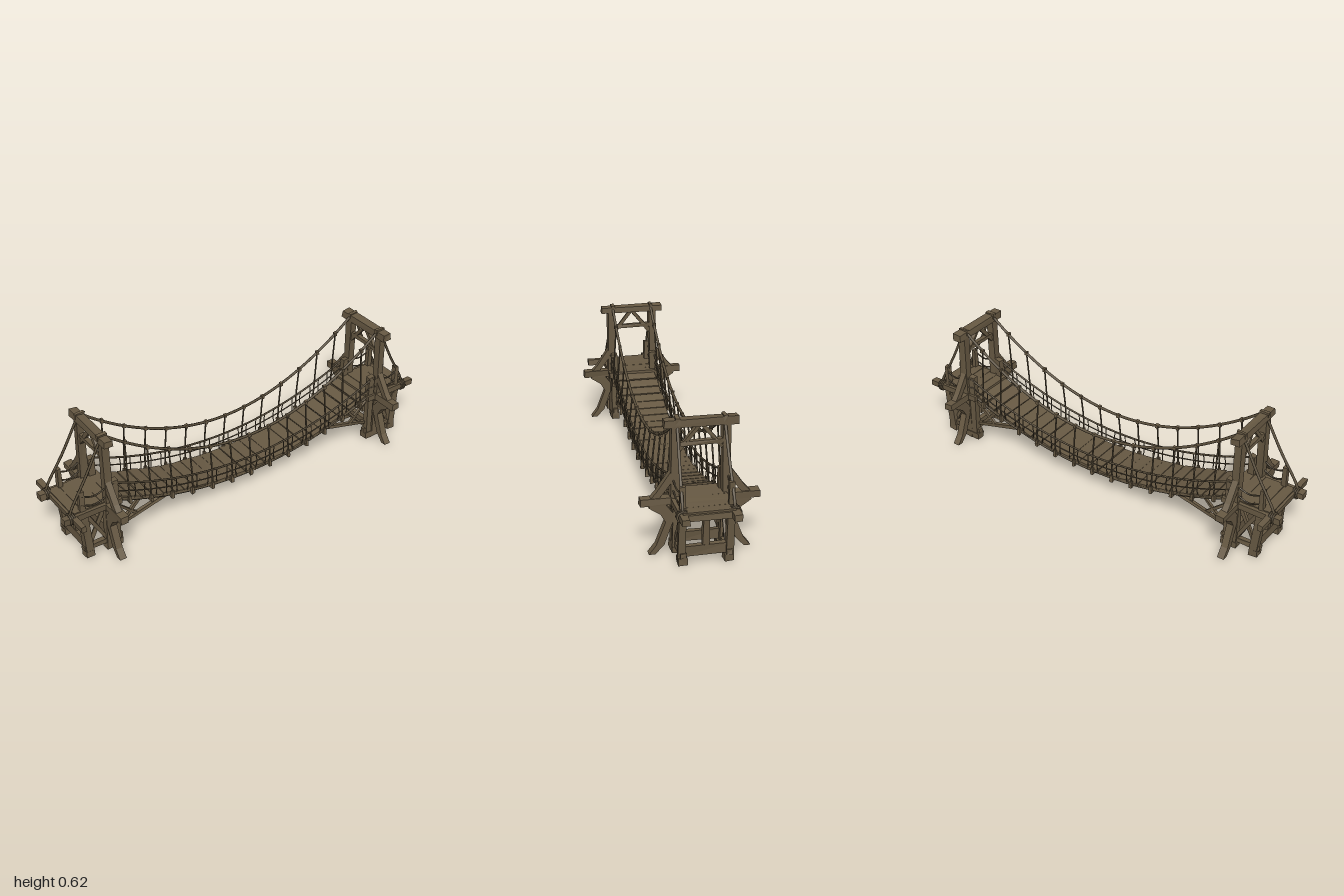
import * as THREE from 'three';

export function createModel() {
  const root = new THREE.Group();
  root.name = 'ropeBridge';
  const wood = new THREE.MeshStandardMaterial({ color: 0x675943, flatShading: true });
  wood.name = 'weathered wood';
  const rope = new THREE.MeshStandardMaterial({ color: 0x5c503c });
  rope.name = 'old rope';

  let seed = 11;
  const rnd = () => (seed = (seed * 16807) % 2147483647) / 2147483647;
  const vary = (a) => (rnd() - 0.5) * 2 * a;
  const V = (x, y, z) => new THREE.Vector3(x, y, z);

  // Rough-hewn timber from a to b; w is the sideways size, h the other one
  function beam(parent, name, a, b, w, h, rough = 0.003) {
    const p = V(...a), q = V(...b), len = p.distanceTo(q);
    const geo = new THREE.BoxGeometry(w, h, len);
    const pos = geo.attributes.position;
    const off = Array.from({ length: 8 }, () => [vary(rough), vary(rough), vary(rough)]);
    for (let i = 0; i < pos.count; i++) {
      const o = off[(pos.getX(i) > 0 ? 1 : 0) + (pos.getY(i) > 0 ? 2 : 0) + (pos.getZ(i) > 0 ? 4 : 0)];
      pos.setXYZ(i, pos.getX(i) + o[0], pos.getY(i) + o[1], pos.getZ(i) + o[2]);
    }
    geo.computeVertexNormals();
    const mesh = new THREE.Mesh(geo, wood);
    mesh.name = name;
    const d = q.clone().sub(p).normalize();
    const up = Math.abs(d.y) > 0.95 ? V(0, 0, 1) : V(0, 1, 0);
    const side = up.clone().cross(d).normalize();
    mesh.quaternion.setFromRotationMatrix(new THREE.Matrix4().makeBasis(side, d.clone().cross(side), d));
    mesh.position.copy(p).add(q).multiplyScalar(0.5);
    parent.add(mesh);
    return mesh;
  }

  function cord(parent, name, pts, r, segs = 12) {
    const curve = new THREE.CatmullRomCurve3(pts.map((p) => V(...p)));
    const mesh = new THREE.Mesh(new THREE.TubeGeometry(curve, segs, r, 5), rope);
    mesh.name = name;
    parent.add(mesh);
  }

  // Flat timber cut from an outline in the z-y plane
  function cutBrace(parent, name, outline, x, s, depth) {
    const shape = new THREE.Shape(outline.map(([z, y]) => new THREE.Vector2(z * s, y)));
    const geo = new THREE.ExtrudeGeometry(shape, { depth, bevelEnabled: false });
    geo.translate(0, 0, -depth / 2).rotateY(-Math.PI / 2);
    const mesh = new THREE.Mesh(geo, wood);
    mesh.name = name;
    mesh.position.x = x;
    parent.add(mesh);
  }

  const sag = (low, high, half) => (x) => low + (high - low) * (x / half) ** 2;
  const deckY = sag(0.105, 0.255, 0.72);
  const railY = sag(0.185, 0.35, 0.74);
  const cableY = sag(0.3, 0.608, 0.77);
  const along = (f, z, half, n = 16) =>
    Array.from({ length: n + 1 }, (_, i) => {
      const x = -half + (2 * half * i) / n;
      return [x, f(x), z];
    });

  // Towers with their landing platforms, one at each end
  for (const e of [-1, 1]) {
    const tower = new THREE.Group();
    tower.name = e < 0 ? 'rightTower' : 'leftTower';
    root.add(tower);
    const T = 0.775 * e;

    for (const s of [-1, 1]) {
      const z = 0.103 * s;
      beam(tower, 'towerPost', [T, 0.02, z], [T, 0.23, z], 0.038, 0.034);
      beam(tower, 'towerPostUpper', [T, 0.22, 0.113 * s], [T, 0.6, 0.107 * s], 0.038, 0.036);
      beam(tower, 'innerPost', [0.737 * e, 0.02, z], [0.737 * e, 0.36, z], 0.032, 0.03);
      beam(tower, 'outerLeg', [0.882 * e, 0.02, z], [0.9 * e, 0.235, z], 0.036, 0.032);
      beam(tower, 'railPost', [0.9 * e, 0.23, z], [0.9 * e, 0.365, z], 0.022, 0.024);
      for (const x of [0.883, 0.775, 0.735])
        beam(tower, 'foot', [x * e, 0, 0.1 * s], [x * e, 0.032, 0.1 * s], 0.042, 0.042, 0.002);
      beam(tower, 'platformBeam', [0.71 * e, 0.246, 0.11 * s], [e, 0.246, 0.11 * s], 0.036, 0.03);
      beam(tower, 'groundBeam', [0.71 * e, 0.045, 0.1 * s], [0.91 * e, 0.045, 0.1 * s], 0.024, 0.022);
      // Crossed and underslung braces
      beam(tower, 'crossBrace', [0.79 * e, 0.06, z], [0.88 * e, 0.225, z], 0.014, 0.018);
      beam(tower, 'crossBrace', [0.87 * e, 0.06, z * 0.9], [0.79 * e, 0.225, z * 0.9], 0.014, 0.018);
      beam(tower, 'longStrut', [0.73 * e, 0.085, 0.09 * s], [0.46 * e, 0.155, 0.09 * s], 0.016, 0.016);
      beam(tower, 'shortStrut', [0.7 * e, 0.095, 0.09 * s], [0.6 * e, 0.2, 0.09 * s], 0.014, 0.014);
      beam(tower, 'strutTie', [0.73 * e, 0.215, 0.09 * s], [0.62 * e, 0.115, 0.09 * s], 0.014, 0.014);
      // Bowed outrigger leg and the strut above it
      cutBrace(tower, 'outrigger', [[0.222, 0.003], [0.19, 0.045], [0.15, 0.15], [0.172, 0.188],
        [0.222, 0.222], [0.215, 0.234], [0.15, 0.234], [0.118, 0.19], [0.118, 0.15], [0.155, 0.045], [0.194, 0.003]], T, s, 0.034);
      cutBrace(tower, 'upperStrut', [[0.215, 0.262], [0.19, 0.29], [0.13, 0.378], [0.118, 0.34],
        [0.155, 0.29], [0.178, 0.262]], T, s, 0.03);
      beam(tower, 'gableBrace', [T, 0.47, 0.093 * s], [T, 0.578, 0.006 * s], 0.02, 0.018);
      // Rope saddle, back stay and its lashing
      beam(tower, 'saddle', [T - 0.024, 0.603, 0.1 * s], [T + 0.024, 0.603, 0.1 * s], 0.016, 0.028);
      const end = e < 0 ? -0.96 : 0.935;
      cord(tower, 'backStay', [[T, 0.612, 0.1 * s], [T + (end - T) * 0.5, 0.435, 0.105 * s],
        [end, 0.28, 0.11 * s], [end + 0.012 * e, 0.235, 0.11 * s]], 0.0065);
      for (const dx of [-0.009, 0, 0.009]) {
        const wrap = new THREE.Mesh(new THREE.TorusGeometry(0.025, 0.005, 5, 8), rope);
        wrap.name = 'lashing';
        wrap.rotation.y = Math.PI / 2;
        wrap.position.set(end + dx, 0.246, 0.11 * s);
        tower.add(wrap);
      }
      // Sagging platform rails
      for (const y of [0.342, 0.295])
        cord(tower, 'platformRail', [[0.905 * e, y, 0.112 * s], [0.84 * e, y - 0.02, 0.114 * s],
          [T, y + 0.004, 0.118 * s], [0.735 * e, y + 0.004, 0.114 * s]], 0.004);
    }

    // Timbers running across the bridge
    beam(tower, 'topBeam', [T, 0.593, -0.158], [T, 0.593, 0.158], 0.042, 0.033);
    beam(tower, 'collarBeam', [T, 0.5, -0.1], [T, 0.5, 0.1], 0.022, 0.018);
    beam(tower, 'wideSill', [T, 0.247, -0.257], [T, 0.247, 0.257], 0.04, 0.033);
    beam(tower, 'endSill', [0.9 * e, 0.222, -0.12], [0.9 * e, 0.222, 0.12], 0.03, 0.022);
    for (const x of [0.885, 0.755])
      beam(tower, 'lowerCrossBeam', [x * e, 0.06, -0.1], [x * e, 0.06, 0.1], 0.024, 0.046);
    beam(tower, 'centrePost', [0.885 * e, 0.08, 0], [0.895 * e, 0.235, 0], 0.022, 0.027);
    const reach = e < 0 ? 0.21 : 0.125;
    beam(tower, 'anchorBeam', [0.95 * e, 0.246, -reach], [0.95 * e, 0.246, reach], 0.026, 0.028);
    for (let i = 0; i < 5; i++) {
      const x = (0.728 + i * 0.05) * e;
      beam(tower, 'platformPlank', [x, 0.261, -0.112], [x, 0.261, 0.112], 0.049, 0.012, 0.0015);
    }
  }

  // Hanging deck
  const deck = new THREE.Group();
  deck.name = 'deck';
  root.add(deck);
  const planks = 25;
  for (let i = 0; i < planks; i++) {
    const x = -0.69 + (1.38 * i) / (planks - 1);
    const y = deckY(x), half = 0.113 + vary(0.006);
    const plank = beam(deck, 'plank', [x, y, -half], [x, y, half], 0.055 + vary(0.002), 0.012, 0.002);
    plank.rotateZ(-Math.atan(2 * 0.15 * x / 0.72 ** 2) * -1);
  }

  // Ropes, hangers and netting on both sides
  for (const s of [-1, 1]) {
    const ropes = new THREE.Group();
    ropes.name = s > 0 ? 'frontRopes' : 'backRopes';
    root.add(ropes);
    cord(ropes, 'mainCable', along(cableY, 0.1 * s, 0.775), 0.007, 48);
    cord(ropes, 'handRope', along(railY, 0.114 * s, 0.74), 0.005, 40);
    cord(ropes, 'middleRope', along((x) => (railY(x) + deckY(x)) / 2, 0.116 * s, 0.74), 0.0032, 40);
    cord(ropes, 'deckRope', along((x) => deckY(x) - 0.01, 0.106 * s, 0.73), 0.0075, 40);
    for (let i = -6; i <= 6; i++) {
      const x = i * 0.111;
      cord(ropes, 'hanger', [[x, cableY(x), 0.1 * s], [x + vary(0.003), railY(x), 0.114 * s],
        [x, deckY(x) - 0.014, 0.119 * s]], 0.0042, 6);
      beam(ropes, 'hangerKnot', [x, cableY(x) - 0.01, 0.1 * s], [x, cableY(x) + 0.008, 0.1 * s], 0.015, 0.015, 0.002);
      beam(ropes, 'hangerPeg', [x, deckY(x) - 0.024, 0.118 * s], [x, deckY(x) + 0.012, 0.118 * s], 0.014, 0.014, 0.002);
    }
    for (let i = -12; i < 12; i++) {
      const x = (i + 0.5) * 0.0555;
      cord(ropes, 'netCord', [[x, railY(x), 0.114 * s], [x + vary(0.008), (railY(x) + deckY(x)) / 2, 0.117 * s],
        [x, deckY(x), 0.113 * s]], 0.0025, 4);
    }
  }

  // Bearers below the planks at each hanger
  for (let i = -6; i <= 6; i++) {
    const x = i * 0.111, y = deckY(x) - 0.014;
    beam(deck, 'bearer', [x, y, -0.124], [x, y, 0.124], 0.016, 0.014, 0.002);
  }
  return root;
}
